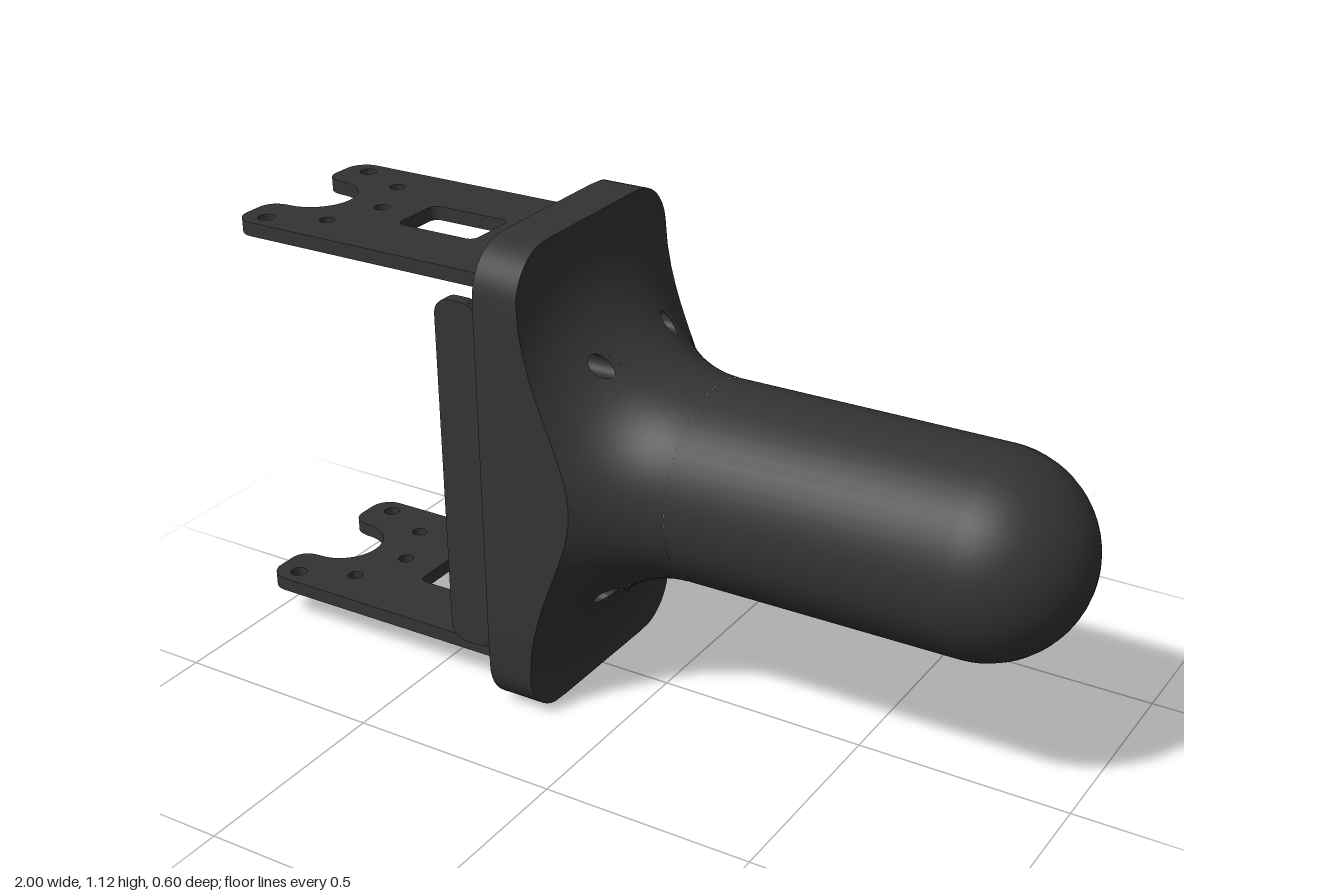
import * as THREE from 'three';
import { toCreasedNormals } from 'three/addons/utils/BufferGeometryUtils.js';

const HALF_Z = 0.3, HALF_Y = 0.56, CORNER = 0.12, BACK = -0.29;
const KNOB_R = 0.23, BOLT_R = 0.023;
const boltHoles = [[0.14, 0.28], [-0.14, 0.28], [-0.14, -0.28], [0.14, -0.28]];

function circle(x, y, r, sides = 24) {
  const pts = [];
  for (let i = 0; i < sides; i++) {
    const t = (i / sides) * Math.PI * 2;
    pts.push(new THREE.Vector2(x + r * Math.cos(t), y + r * Math.sin(t)));
  }
  return new THREE.Path(pts);
}

function roundedRect(x0, y0, x1, y1, r) {
  const s = new THREE.Shape();
  s.moveTo(x0 + r, y0);
  s.absarc(x1 - r, y0 + r, r, -Math.PI / 2, 0);
  s.absarc(x1 - r, y1 - r, r, 0, Math.PI / 2);
  s.absarc(x0 + r, y1 - r, r, Math.PI / 2, Math.PI);
  s.absarc(x0 + r, y0 + r, r, Math.PI, Math.PI * 1.5);
  return s;
}

const extrude = (shape, depth) => toCreasedNormals(
  new THREE.ExtrudeGeometry(shape, { depth, bevelEnabled: false, curveSegments: 10 }), 0.6);

// Distance from the plate's centre to its rounded outline at angle a
function outline(a) {
  const c = Math.abs(Math.cos(a)), s = Math.abs(Math.sin(a));
  const r = Math.min(HALF_Z / Math.max(c, 1e-6), HALF_Y / Math.max(s, 1e-6));
  const cz = HALF_Z - CORNER, cy = HALF_Y - CORNER;
  if (r * c <= cz || r * s <= cy) return r;
  const b = cz * c + cy * s;
  return b + Math.sqrt(Math.max(0, b * b - cz * cz - cy * cy + CORNER * CORNER));
}

// Concave flare: x of the front surface at radius r
function flareX(r) {
  const k = Math.min(1, Math.max(0, (0.55 - r) / 0.32));
  return 0.13 - 0.31 * Math.sqrt(1 - k * k);
}
const onFlare = (z, y) => [flareX(Math.hypot(z, y)), y, z];
const polar = (a, r) => onFlare(r * Math.cos(a), r * Math.sin(a));

// Plate front that sweeps into the grip, with its rim and bolt holes
function flareGeometry() {
  const pos = [];
  const quad = (a, b, c, d) => pos.push(...a, ...b, ...c, ...a, ...c, ...d);
  const aH = Math.atan2(0.28, 0.14), rH = 0.3125, da = 0.112, dr = 0.0375;
  const centres = [aH, Math.PI - aH, Math.PI + aH, 2 * Math.PI - aH];

  // Angles, with the hole patches falling on exact steps
  const stops = [0];
  centres.forEach(c => stops.push(c - da, c + da));
  stops.push(Math.PI * 2);
  const angles = [];
  for (let i = 0; i + 1 < stops.length; i++) {
    const n = Math.max(8, Math.round((stops[i + 1] - stops[i]) / 0.07));
    for (let j = 0; j < n; j++) {
      angles.push({ a: stops[i] + (stops[i + 1] - stops[i]) * j / n, patch: i % 2 === 1 });
    }
  }
  angles.push({ a: Math.PI * 2, patch: false });

  const levels = [];
  for (let i = 0; i < 7; i++) levels.push(KNOB_R + 0.045 * (i / 7) ** 2);
  for (let i = 0; i < 5; i++) levels.push(rH - dr + 2 * dr * i / 5);
  for (let i = 0; i <= 10; i++) levels.push(rH + dr + 0.21 * i / 10);
  levels.push(0.7);

  for (let i = 0; i + 1 < angles.length; i++) {
    const a = angles[i].a, b = angles[i + 1].a, ra = outline(a), rb = outline(b);
    for (let k = 0; k + 1 < levels.length; k++) {
      if (angles[i].patch && k >= 7 && k < 12) continue;
      const p = levels[k], q = levels[k + 1];
      if (p >= ra && p >= rb) break;
      quad(polar(a, Math.min(p, ra)), polar(b, Math.min(p, rb)),
        polar(b, Math.min(q, rb)), polar(a, Math.min(q, ra)));
    }
    const A = polar(a, ra), B = polar(b, rb);
    quad(A, B, [BACK, B[1], B[2]], [BACK, A[1], A[2]]);
  }

  // Patch around each bolt hole, plus the hole's wall
  for (const c of centres) {
    const point = i => {
      const t = i / 32 * Math.PI * 2, u = Math.cos(t), v = Math.sin(t);
      const m = Math.max(Math.abs(u), Math.abs(v));
      const rad = rH + BOLT_R * v, tan = BOLT_R * u;
      const rim = onFlare(rad * Math.cos(c) - tan * Math.sin(c), rad * Math.sin(c) + tan * Math.cos(c));
      return { rim, edge: polar(c + da * u / m, rH + dr * v / m), back: [BACK, rim[1], rim[2]] };
    };
    for (let i = 0; i < 32; i++) {
      const p = point(i), q = point(i + 1);
      quad(p.rim, p.edge, q.edge, q.rim);
      quad(p.back, p.rim, q.rim, q.back);
    }
  }
  const g = new THREE.BufferGeometry();
  g.setAttribute('position', new THREE.Float32BufferAttribute(pos, 3));
  return toCreasedNormals(g, 0.6);
}

export function createModel() {
  const model = new THREE.Group();
  const body = new THREE.Group();
  body.name = 'handleAssembly';
  body.position.y = 0.562;
  body.rotation.z = 0.008;
  model.add(body);
  const mat = new THREE.MeshStandardMaterial({ color: 0x333333 });
  const matDouble = new THREE.MeshStandardMaterial({ color: 0x333333, side: THREE.DoubleSide });
  const add = (name, geo, m = mat) => {
    const mesh = new THREE.Mesh(geo, m);
    mesh.name = name;
    body.add(mesh);
    return mesh;
  };

  // Grip with a domed end
  const profile = [new THREE.Vector2(KNOB_R, 0.13)];
  for (let i = 0; i <= 16; i++) {
    const t = i / 16 * Math.PI / 2;
    profile.push(new THREE.Vector2(KNOB_R * Math.cos(t), 0.77 + KNOB_R * Math.sin(t)));
  }
  add('grip', new THREE.LatheGeometry(profile, 48).rotateZ(-Math.PI / 2));
  add('flaredPlate', flareGeometry());

  // Flat back of the plate with a shallow bore
  const rim = [];
  for (let i = 0; i < 144; i++) {
    const a = i / 144 * Math.PI * 2, r = outline(a);
    rim.push(new THREE.Vector2(r * Math.cos(a), r * Math.sin(a)));
  }
  const backShape = new THREE.Shape(rim);
  boltHoles.forEach(([z, y]) => backShape.holes.push(circle(z, y, BOLT_R)));
  backShape.holes.push(circle(0, 0, 0.065));
  add('plateBack', new THREE.ShapeGeometry(backShape).rotateY(-Math.PI / 2).translate(BACK, 0, 0));
  add('boreWall', new THREE.CylinderGeometry(0.065, 0.065, 0.08, 24, 1, true)
    .rotateZ(Math.PI / 2).translate(BACK + 0.04, 0, 0), matDouble);
  add('boreFloor', new THREE.CircleGeometry(0.065, 24).rotateY(-Math.PI / 2).translate(BACK + 0.08, 0, 0));

  // Bracket base: wider in the middle, narrower where the arms bend off
  const base = new THREE.Shape([
    [-0.27, -0.42], [-0.23, -0.42], [-0.23, -0.44], [0.23, -0.44], [0.23, -0.42], [0.27, -0.42],
    [0.27, 0.42], [0.23, 0.42], [0.23, 0.44], [-0.23, 0.44], [-0.23, 0.42], [-0.27, 0.42],
  ].map(p => new THREE.Vector2(...p)));
  boltHoles.forEach(([z, y]) => base.holes.push(circle(z, y, BOLT_R)));
  base.holes.push(circle(0, 0, 0.09));
  for (const [z, y] of [[0.18, 0], [-0.18, 0], [0, 0.18], [0, -0.18]]) base.holes.push(circle(z, y, 0.018, 16));
  add('bracketBase', extrude(base, 0.033).rotateY(Math.PI / 2).translate(-0.324, 0, 0));

  // Arm outline in x and z, with a notched end
  const arm = new THREE.Shape();
  arm.moveTo(-0.324, -0.23);
  arm.lineTo(-0.324, 0.23);
  arm.lineTo(-0.95, 0.23);
  arm.absarc(-0.95, 0.18, 0.05, Math.PI / 2, Math.PI);
  arm.lineTo(-1, 0.135);
  arm.quadraticCurveTo(-0.995, 0.095, -0.945, 0.095);
  arm.absarc(-0.945, 0, 0.095, Math.PI / 2, -Math.PI / 2, true);
  arm.quadraticCurveTo(-0.995, -0.095, -1, -0.135);
  arm.lineTo(-1, -0.18);
  arm.absarc(-0.95, -0.18, 0.05, Math.PI, Math.PI * 1.5);
  arm.closePath();
  for (const s of [-1, 1]) arm.holes.push(circle(-0.94, s * 0.185, 0.02), circle(-0.81, s * 0.13, 0.018));
  arm.holes.push(circle(-0.755, 0, 0.018));
  arm.holes.push(new THREE.Path(roundedRect(-0.66, -0.07, -0.45, 0.07, 0.02).getPoints(5)));

  // Quarter-round bend joining arm and base
  const bend = new THREE.Shape();
  bend.moveTo(-0.324, 0.44);
  bend.lineTo(-0.291, 0.44);
  bend.absarc(-0.324, 0.44, 0.033, 0, Math.PI / 2);
  bend.closePath();

  for (const s of [1, -1]) {
    const side = s > 0 ? 'upper' : 'lower';
    add(side + 'Arm', extrude(arm, 0.033).rotateX(Math.PI / 2).translate(0, s > 0 ? 0.473 : -0.44, 0));
    const b = extrude(bend, 0.46).translate(0, 0, -0.23);
    if (s < 0) b.rotateX(Math.PI);
    add(side + 'Bend', b);
    // Side flange with rounded free corners
    add(s > 0 ? 'leftFlange' : 'rightFlange',
      extrude(roundedRect(-0.41, -0.42, -0.3, 0.42, 0.04), 0.03).translate(0, 0, s > 0 ? 0.245 : -0.275));
  }

  // Socket-head bolts holding the bracket
  const head = new THREE.Shape(circle(0, 0, 0.05).getPoints());
  head.holes.push(circle(0, 0, 0.026, 6));
  for (const z of [-0.125, 0.125]) for (const y of [-0.13, 0.13]) {
    add('boltHead', extrude(head, 0.06).rotateY(Math.PI / 2).translate(-0.384, y, z));
    add('boltSocketFloor', new THREE.CircleGeometry(0.035, 12).rotateY(-Math.PI / 2).translate(-0.345, y, z));
  }
  return model;
}
